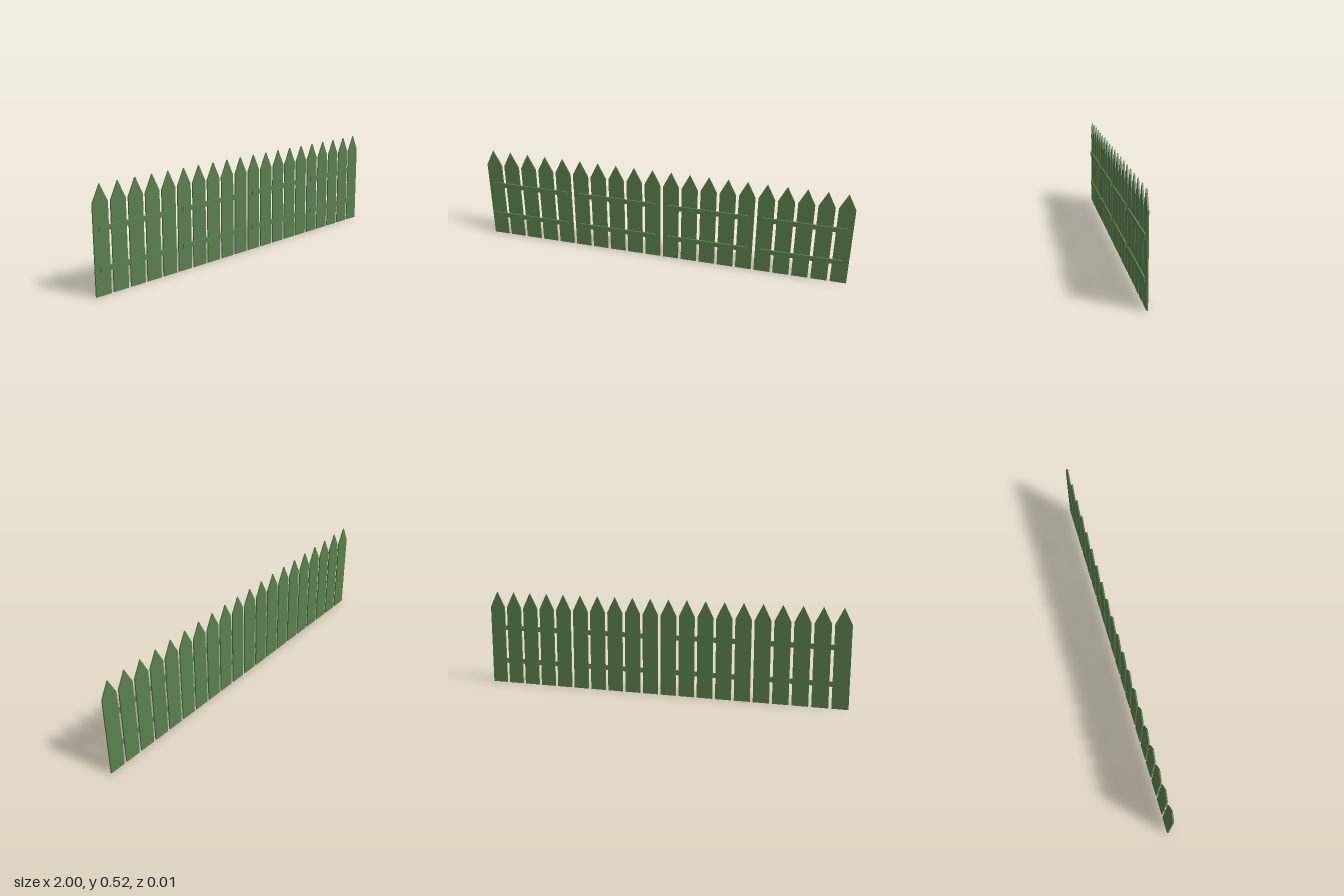
import * as THREE from 'three';

const PANELS = 4, PER_PANEL = 5;
const WIDTH = 0.085, SHOULDER = 0.435, TOP = 0.52, DEPTH = 0.0072;
const PITCH = (2 - WIDTH) / (PANELS * PER_PANEL - 1);

export function createModel() {
  const fence = new THREE.Group();
  fence.name = 'picketFence';
  const paint = new THREE.MeshStandardMaterial({ color: 0x5a7f4e, flatShading: true });

  // Pointed board, extruded forward to z = 0
  const h = WIDTH / 2;
  const outline = new THREE.Shape([
    [-h, 0], [h, 0], [h, SHOULDER], [0, TOP], [-h, SHOULDER],
  ].map(([x, y]) => new THREE.Vector2(x, y)));
  const picketGeometry = new THREE.ExtrudeGeometry(outline, { depth: DEPTH, bevelEnabled: false });
  picketGeometry.translate(0, 0, -DEPTH);

  // Cross rail, standing on the front of the boards
  const railGeometry = new THREE.BoxGeometry(0.435, 0.026, DEPTH);
  railGeometry.translate(0, 0, DEPTH / 2);

  const add = (parent, geometry, name, x, y) => {
    const mesh = new THREE.Mesh(geometry, paint);
    mesh.name = name;
    mesh.position.set(x, y, 0);
    parent.add(mesh);
  };

  // Four panels of five pickets, each joined by two rails
  for (let p = 0; p < PANELS; p++) {
    const panel = new THREE.Group();
    panel.name = 'fencePanel';
    panel.position.x = (p - (PANELS - 1) / 2) * PER_PANEL * PITCH;
    for (let i = 0; i < PER_PANEL; i++) {
      add(panel, picketGeometry, 'picket', (i - (PER_PANEL - 1) / 2) * PITCH, 0);
    }
    add(panel, railGeometry, 'lowerRail', 0, 0.126);
    add(panel, railGeometry, 'upperRail', 0, 0.316);
    fence.add(panel);
  }
  return fence;
}
